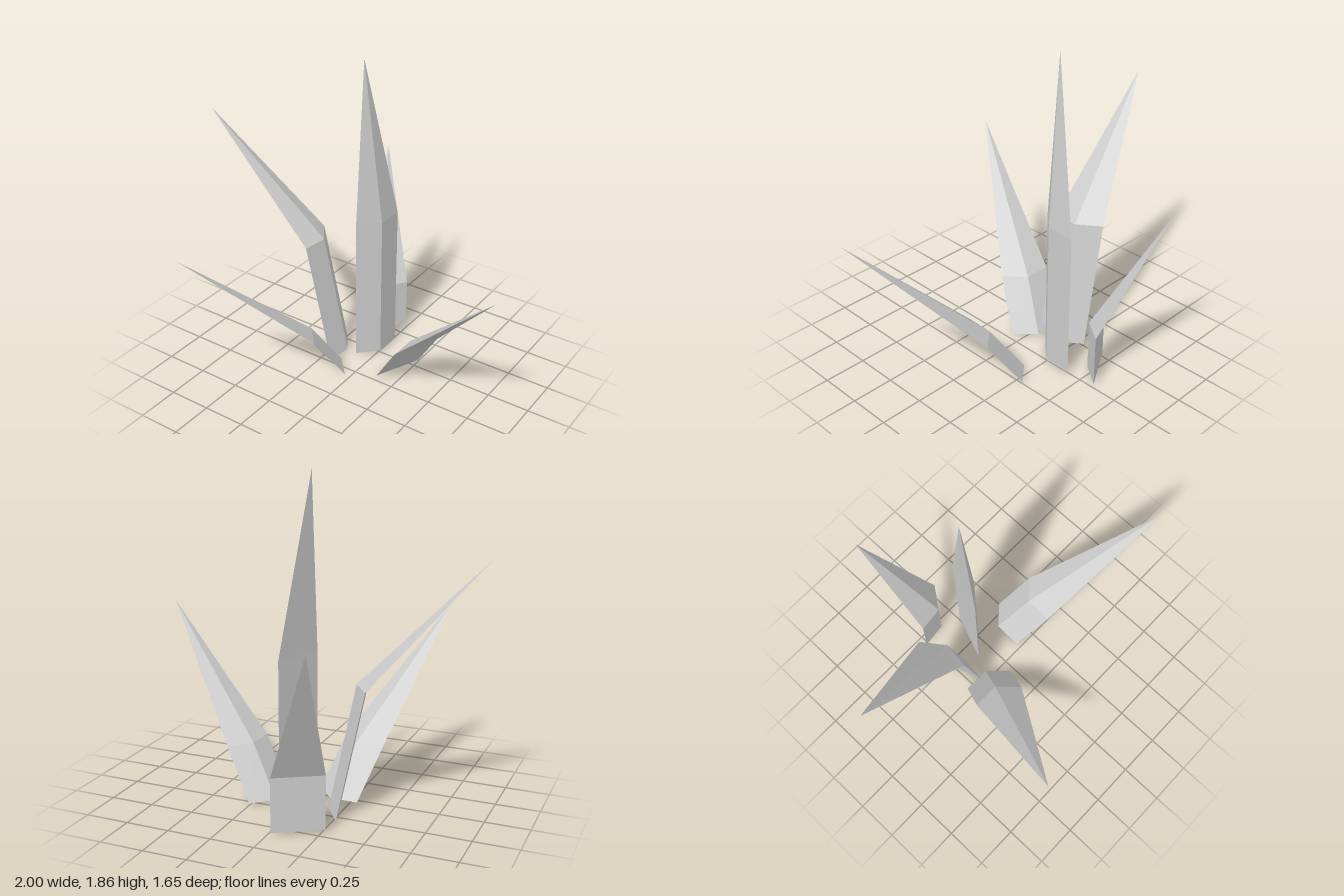
import * as THREE from 'three';

// Blade: triangular base, leaning triangular prism up to a bend, then a point.
function makeBlade({ name, base, foot = 0.01, lean, bend, tip }) {
  const [a, b, c] = base;
  const area = (b[0] - a[0]) * (c[1] - a[1]) - (c[0] - a[0]) * (b[1] - a[1]);
  const ring = area > 0 ? [c, b, a] : [a, b, c]; // anticlockwise from above
  const low = ring.map(([x, z]) => [x, foot, z]);
  const mid = ring.map(([x, z]) => [x + lean[0], bend, z + lean[1]]);

  const corners = [low[2], low[1], low[0]]; // underside
  for (let i = 0; i < 3; i++) {
    const j = (i + 1) % 3;
    corners.push(low[i], low[j], mid[j], low[i], mid[j], mid[i]); // stem side
    corners.push(mid[i], mid[j], tip); // pointed side
  }
  const geometry = new THREE.BufferGeometry();
  geometry.setAttribute('position', new THREE.Float32BufferAttribute(corners.flat(), 3));
  geometry.computeVertexNormals();
  const material = new THREE.MeshStandardMaterial({ color: 0xcccccc, flatShading: true });
  const mesh = new THREE.Mesh(geometry, material);
  mesh.name = name;
  return mesh;
}

// base and lean are [x, z] pairs; tip is [x, y, z]
const blades = [
  { name: 'centreBlade', base: [[-0.095, -0.145], [0.01, -0.252], [0.01, -0.416]],
    lean: [0, 0], bend: 0.89, tip: [-0.092, 1.855, -0.216] },
  { name: 'rightSideBlade', base: [[-0.17, -0.165], [-0.265, -0.295], [-0.19, -0.015]], foot: 0,
    lean: [-0.15, 0.018], bend: 0.73, tip: [-1, 1.435, -0.012] },
  { name: 'frontBlade', base: [[-0.293, -0.05], [-0.135, -0.05], [-0.03, 0.065]],
    lean: [-0.088, 0.174], bend: 0.295, tip: [-0.557, 0.98, 0.825] },
  { name: 'leftSideBlade', base: [[0.135, -0.195], [0.13, -0.03], [0.25, -0.295]],
    lean: [0.178, 0.092], bend: 0.29, tip: [0.995, 0.98, 0.25] },
  { name: 'backBlade', base: [[-0.265, -0.438], [-0.112, -0.457], [-0.017, -0.587]],
    lean: [0, 0], bend: 0.315, tip: [-0.32, 1.07, -0.825] },
];

export function createModel() {
  const group = new THREE.Group();
  group.name = 'bladePlant';
  for (const blade of blades) group.add(makeBlade(blade));
  return group;
}
